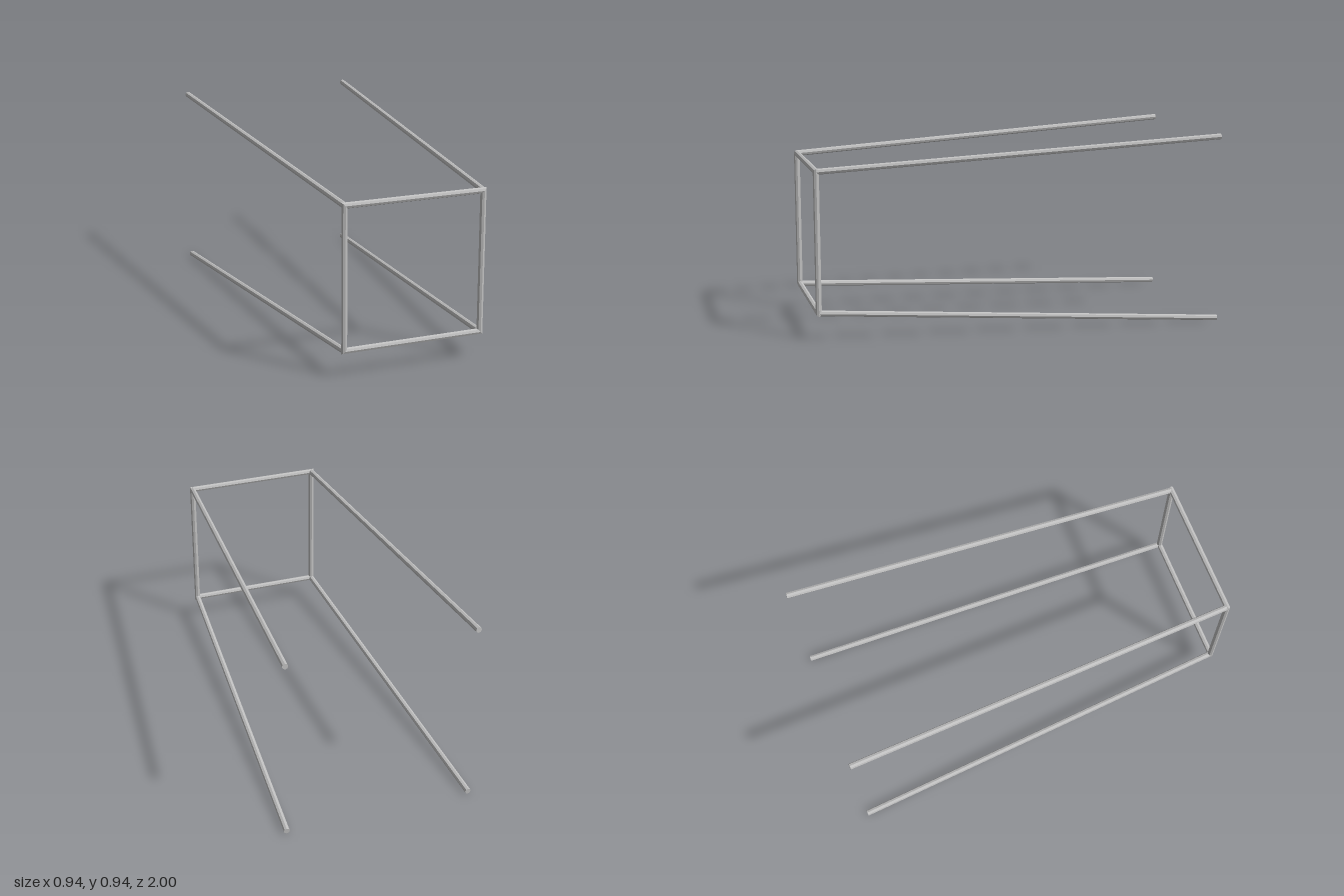
import * as THREE from 'three';

const R = 0.0145;        // rod radius
const SIDES = 8;
const MID_Y = 0.473;     // height of the frame centre
const FRONT = { half: 0.34, z: 0.986 };
const BACK = { half: 0.458, z: -1 };

export function createModel() {
  const group = new THREE.Group();
  const steel = new THREE.MeshStandardMaterial({ color: 0xc0c0c0, flatShading: true });
  steel.name = 'light grey steel';

  // Mitred square frame: an octagonal profile swept round four corners
  const profile = [];
  for (let i = 0; i <= SIDES; i++) {
    const a = (i / SIDES) * Math.PI * 2;
    profile.push(new THREE.Vector2((FRONT.half + R * Math.cos(a)) * Math.SQRT2, R * Math.sin(a)));
  }
  const frameGeo = new THREE.LatheGeometry(profile, 4, Math.PI / 4);
  frameGeo.rotateX(Math.PI / 2);
  const frame = new THREE.Mesh(frameGeo, steel);
  frame.name = 'frontFrame';
  frame.position.set(0, MID_Y, FRONT.z);
  group.add(frame);

  // Four splayed rods running back from the frame corners
  for (const [sx, sy, name] of [
    [1, 1, 'upperLeftRod'], [-1, 1, 'upperRightRod'],
    [1, -1, 'lowerLeftRod'], [-1, -1, 'lowerRightRod'],
  ]) {
    const a = new THREE.Vector3(sx * FRONT.half, MID_Y + sy * FRONT.half, FRONT.z);
    const b = new THREE.Vector3(sx * BACK.half, MID_Y + sy * BACK.half, BACK.z);
    const dir = b.clone().sub(a);
    const rod = new THREE.Mesh(new THREE.CylinderGeometry(R, R, dir.length(), SIDES), steel);
    rod.name = name;
    rod.position.copy(a).add(b).multiplyScalar(0.5);
    rod.quaternion.setFromUnitVectors(new THREE.Vector3(0, 1, 0), dir.normalize());
    group.add(rod);
  }
  return group;
}
